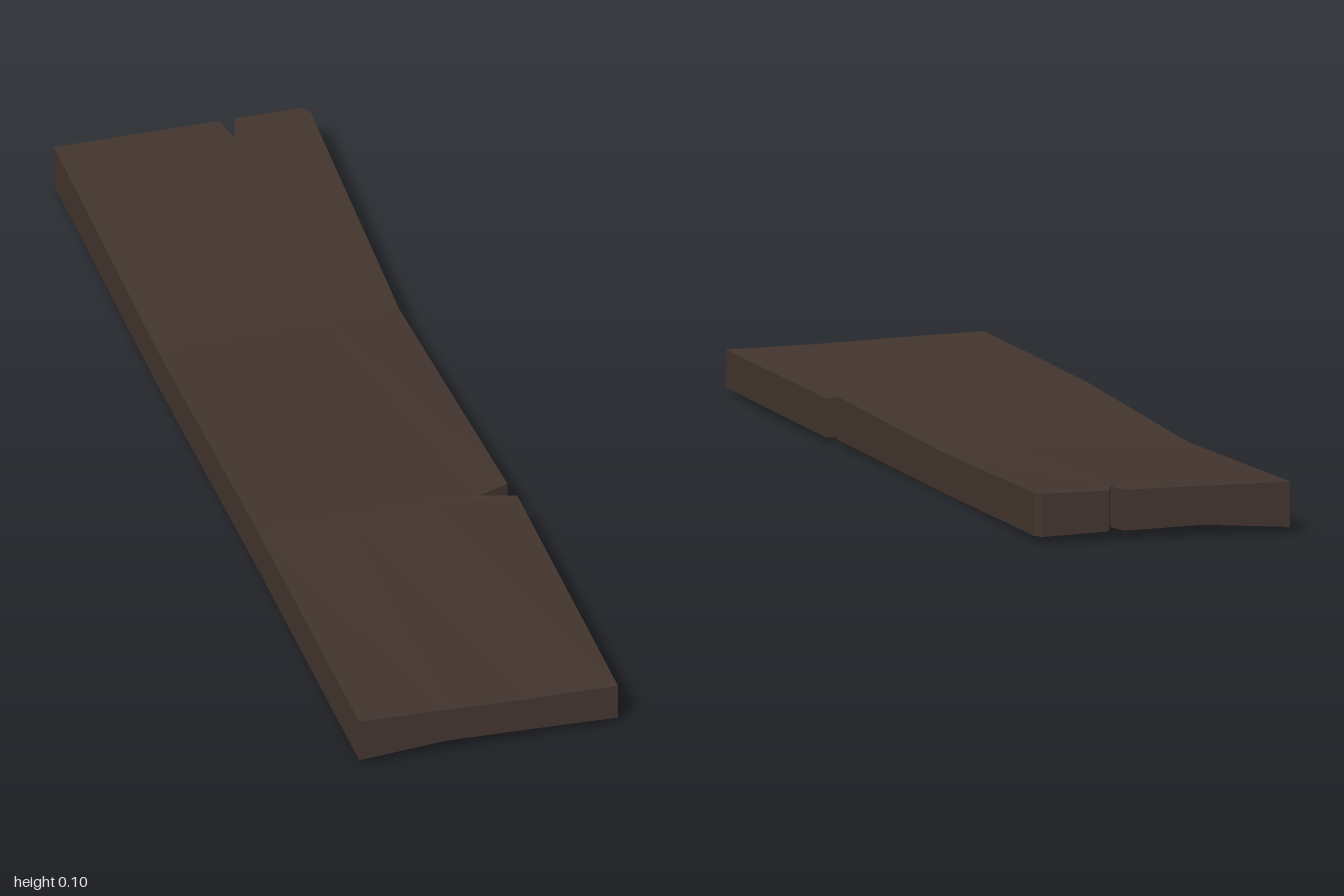
import * as THREE from 'three';

// Plank corners: x, z, then top and bottom heights in hundredths of a unit
const POINTS = [
  // back end, with a split and a clipped corner
  [-0.25, -1, 9.7, 1.2], [-0.08, -1, 9.6, 2.3], [0.07, -1, 9.5, 1.8], [0.08, -0.94, 9.4, 1.7],
  [0.1, -1, 9.5, 1.8], [0.23, -1, 9.4, 1.3], [0.24, -0.98, 9.4, 1.3],
  // sagging row
  [-0.25, -0.33, 7.7, 0], [-0.08, -0.33, 7.8, 0.4], [0.08, -0.33, 7.7, 0.1], [0.22, -0.33, 7.5, 0],
  // cracked row: the last three are the crack's tip, back lip and front lip
  [-0.25, 0.33, 9.6, 1.2], [-0.08, 0.33, 9.4, 1.6], [0.08, 0.33, 9.3, 1.4],
  [0.18, 0.33, 9.1, 1.3], [0.24, 0.31, 9.3, 1.2], [0.25, 0.34, 8.4, 1.1],
  // front end
  [-0.25, 1, 9.7, 1.1], [-0.08, 1, 9.2, 2.3], [0.08, 1, 8.6, 1.8], [0.25, 1, 8.3, 1.2],
];

// Cells between the rows, each wound anticlockwise from above
const CELLS = [
  [0, 7, 8, 1], [1, 8, 9, 3, 2], [3, 9, 10, 6, 5, 4],
  [7, 11, 12, 8], [8, 12, 13, 9], [9, 13, 14, 15, 10],
  [11, 17, 18, 12], [12, 18, 19, 13], [13, 19, 20, 16, 14],
];

function plankGeometry() {
  const positions = [];
  const top = i => [POINTS[i][0], POINTS[i][2] / 100, POINTS[i][1]];
  const bottom = i => [POINTS[i][0], POINTS[i][3] / 100, POINTS[i][1]];
  const triangle = (a, b, c) => positions.push(...a, ...b, ...c);
  const edges = new Map();

  // top and bottom faces
  for (const cell of CELLS) {
    for (let k = 1; k < cell.length - 1; k++) {
      const [a, b, c] = [cell[0], cell[k], cell[k + 1]];
      triangle(top(a), top(b), top(c));
      triangle(bottom(a), bottom(c), bottom(b));
    }
    cell.forEach((a, k) => {
      const b = cell[(k + 1) % cell.length];
      edges.set(`${a},${b}`, [a, b]);
    });
  }

  // side walls along every edge that no neighbouring cell shares
  for (const [a, b] of edges.values()) {
    if (edges.has(`${b},${a}`)) continue;
    triangle(top(a), bottom(a), bottom(b));
    triangle(top(a), bottom(b), top(b));
  }

  const geometry = new THREE.BufferGeometry();
  geometry.setAttribute('position', new THREE.Float32BufferAttribute(positions, 3));
  geometry.computeVertexNormals();
  return geometry;
}

export function createModel() {
  const darkWood = new THREE.MeshStandardMaterial({ color: 0x42342d });
  darkWood.name = 'darkWood';
  darkWood.flatShading = true;

  const plank = new THREE.Mesh(plankGeometry(), darkWood);
  plank.name = 'plank';

  const model = new THREE.Group();
  model.name = 'woodenPlank';
  model.add(plank);
  return model;
}
